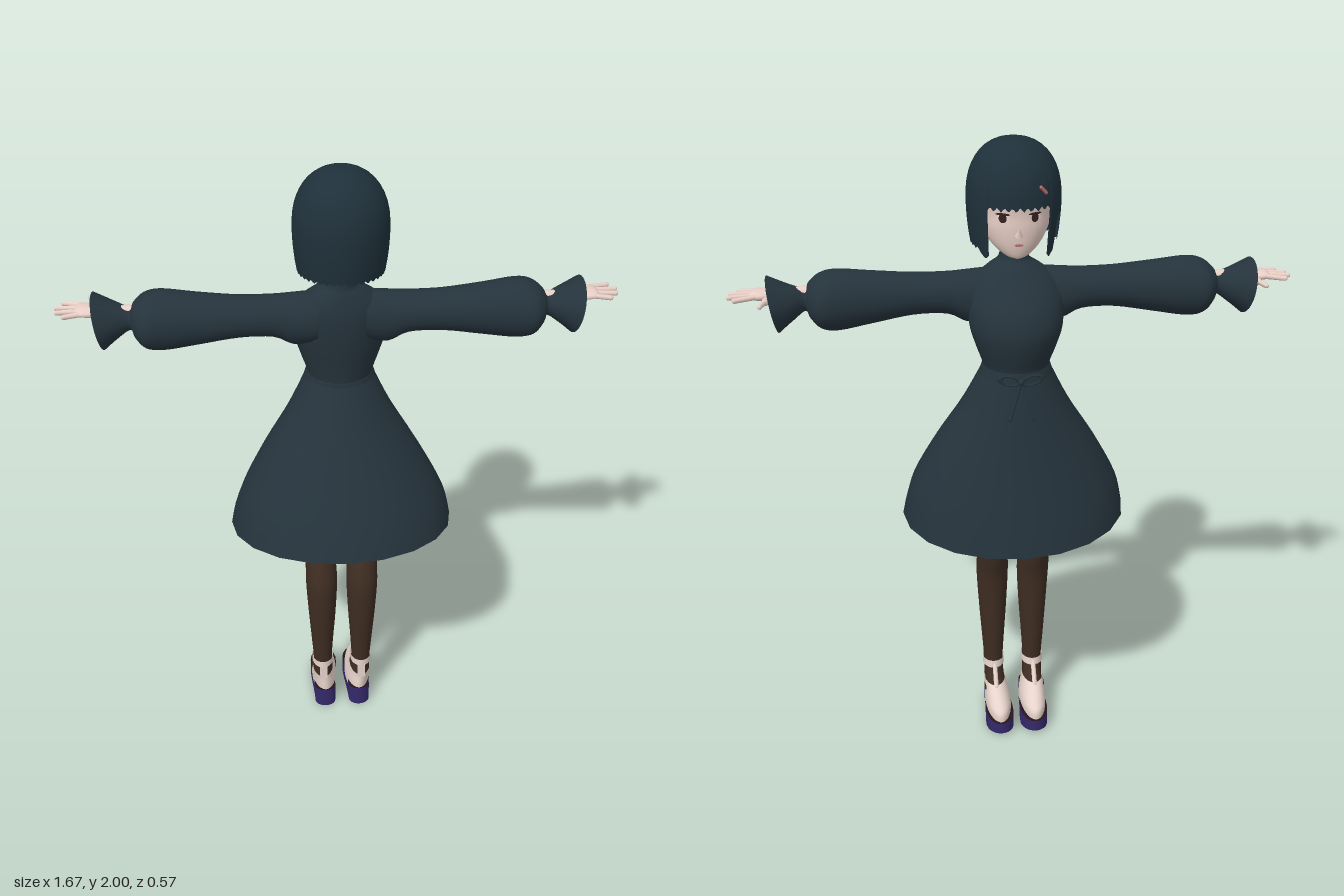
import * as THREE from 'three';
import { mergeVertices, mergeGeometries } from 'three/addons/utils/BufferGeometryUtils.js';

const mat = (name, color, side = THREE.FrontSide) => {
  const m = new THREE.MeshStandardMaterial({ color, side });
  m.name = name;
  return m;
};

// Closed-around grid: point(i, j) gives row i (bottom to top), column j
function grid(rows, cols, point) {
  const pos = [], idx = [];
  for (let i = 0; i < rows; i++) for (let j = 0; j < cols; j++) pos.push(...point(i, j));
  for (let i = 0; i < rows - 1; i++) for (let j = 0; j < cols; j++) {
    const k = (j + 1) % cols, a = i * cols, b = a + cols;
    idx.push(a + j, b + j, a + k, b + j, b + k, a + k);
  }
  const g = new THREE.BufferGeometry();
  g.setAttribute('position', new THREE.Float32BufferAttribute(pos, 3));
  g.setIndex(idx);
  g.computeVertexNormals();
  return g;
}

// Smoothly interpolated copies of the section rows
function smooth(rows, n) {
  const out = [], at = i => rows[Math.min(Math.max(i, 0), rows.length - 1)];
  for (let i = 0; i < rows.length - 1; i++) for (let s = 0; s < n; s++) {
    const t = s / n;
    out.push(rows[i].map((p1, c) => {
      const p0 = at(i - 1)[c], p2 = at(i + 1)[c], p3 = at(i + 2)[c];
      return p1 + 0.5 * t * (p2 - p0 + t * (2 * p0 - 5 * p1 + 4 * p2 - p3 + t * (3 * (p1 - p2) + p3 - p0)));
    }));
  }
  out.push(rows[rows.length - 1]);
  return out;
}

// Elliptical sections [along, min, max, zMin, zMax, tilt] along y or x
function loft(rows, axis = 'y', cols = 28, n = 4) {
  const r = smooth(rows.map(q => (q.length < 6 ? [...q, 0] : q)), n);
  return grid(r.length, cols, (i, j) => {
    const [t, a0, a1, z0, z1, tilt] = r[i], ang = (j / cols) * Math.PI * 2;
    const u = Math.cos(ang) * (a1 - a0) / 2, w = Math.sin(ang) * (z1 - z0) / 2;
    const a = (a0 + a1) / 2 + u, z = (z0 + z1) / 2;
    return axis === 'y' ? [a, t + tilt * w, z + w] : [t + tilt * u, a, z - w];
  });
}
const sym = rows => rows.map(([y, r, ...rest]) => [y, -r, r, ...rest]);

function mirrored(geo) {
  const g = geo.clone().scale(-1, 1, 1), x = g.index.array;
  for (let i = 0; i < x.length; i += 3) [x[i], x[i + 1]] = [x[i + 1], x[i]];
  g.computeVertexNormals();
  return g;
}

// Rounded rod between two points
function rod(p, q, r) {
  const a = new THREE.Vector3(...p), b = new THREE.Vector3(...q), d = b.clone().sub(a);
  const turn = new THREE.Quaternion().setFromUnitVectors(new THREE.Vector3(0, 1, 0), d.clone().normalize());
  return new THREE.CapsuleGeometry(r, d.length(), 4, 8).applyQuaternion(turn)
    .translate(...a.add(b).multiplyScalar(0.5).toArray());
}

export function createModel() {
  const model = new THREE.Group();
  const cloth = mat('dress cloth', 0x25333c, THREE.DoubleSide);
  const hairMat = mat('hair', 0x1f303a, THREE.DoubleSide);
  const skin = mat('skin', 0xf0d6cd);
  const tights = mat('tights', 0x3e2d22);
  const cream = mat('shoe cream', 0xe6d3cb, THREE.DoubleSide);
  const purple = mat('platform purple', 0x35296b);
  const under = mat('sole underside', 0x26161c);
  const eyeMat = mat('eye', 0x35201f);
  const lip = mat('lip', 0xb8706c);
  const add = (name, geo, m) => {
    const mesh = new THREE.Mesh(geo, m);
    mesh.name = name;
    model.add(mesh);
    return mesh;
  };
  const pair = (name, geo, m) => { add(name, geo, m); add(name, mirrored(geo), m); };

  // Dress: bodice with high collar, and flared skirt with a sloping hem
  add('bodice', loft(sym([[1.31, 0.105, -0.165, 0.03], [1.34, 0.1, -0.163, 0.03], [1.4, 0.12, -0.183, 0.038],
    [1.46, 0.138, -0.193, 0.048], [1.52, 0.142, -0.175, 0.055], [1.57, 0.135, -0.14, 0.056], [1.605, 0.115, -0.11, 0.05],
    [1.635, 0.075, -0.085, 0.042], [1.655, 0.045, -0.064, 0.035], [1.695, 0.042, -0.056, 0.032]])), cloth);
  add('skirt', loft(sym([[0.81, 0.358, -0.285, 0.281, 0.12], [0.92, 0.33, -0.258, 0.236, 0.09], [1.07, 0.252, -0.222, 0.163, 0.06],
    [1.21, 0.165, -0.192, 0.093, 0.03], [1.34, 0.1, -0.164, 0.03, 0]]), 'y', 20), cloth);
  add('waistband', loft(sym([[1.315, 0.111, -0.174, 0.038], [1.338, 0.104, -0.17, 0.034]])), cloth);

  // Bow with two loops and two hanging ties
  const bow = [new THREE.SphereGeometry(0.01, 10, 8).translate(0, 1.32, -0.182)];
  for (const s of [-1, 1]) {
    bow.push(new THREE.TorusGeometry(0.02, 0.005, 6, 16).scale(1.5, 0.7, 1).rotateZ(s * 0.25).translate(s * 0.033, 1.325, -0.18));
    bow.push(rod([0, 1.32, -0.18], [s * 0.035, 1.21, -0.204], 0.005));
  }
  add('bow', mergeGeometries(bow), cloth);

  // Puffed sleeves pinched at the wrist, with open flared cuffs
  pair('sleeve', loft([[0.07, 1.47, 1.625, -0.09, 0.05], [0.14, 1.463, 1.62, -0.088, 0.046], [0.2, 1.49, 1.616, -0.084, 0.042],
    [0.3, 1.492, 1.617, -0.086, 0.044], [0.42, 1.473, 1.628, -0.1, 0.05], [0.52, 1.458, 1.638, -0.118, 0.058],
    [0.57, 1.467, 1.627, -0.12, 0.06], [0.6, 1.497, 1.603, -0.09, 0.03], [0.613, 1.52, 1.588, -0.066, 0.002],
    [0.65, 1.5, 1.6, -0.095, 0.018, 0.1], [0.706, 1.463, 1.627, -0.136, 0.056, 0.18]], 'x'), cloth);

  // Hands: wrist and palm, four spread fingers, thumb
  const hand = [loft([[0.6, 1.557, 1.595, -0.055, -0.015], [0.68, 1.562, 1.592, -0.058, -0.016], [0.72, 1.562, 1.594, -0.08, -0.008],
    [0.755, 1.566, 1.593, -0.084, -0.008], [0.772, 1.577, 1.583, -0.075, -0.02]], 'x', 16)];
  [[-0.076, -0.093, 0.808], [-0.057, -0.064, 0.826], [-0.037, -0.036, 0.822], [-0.018, -0.008, 0.8]].forEach(
    ([z0, z1, x]) => hand.push(rod([0.75, 1.58, z0], [x, 1.577, z1], 0.0078)));
  hand.push(rod([0.7, 1.577, -0.06], [0.722, 1.574, -0.105], 0.011), rod([0.722, 1.574, -0.105], [0.735, 1.572, -0.14], 0.0075));
  hand.forEach(g => g.deleteAttribute('uv'));
  pair('hand', mergeGeometries(hand), skin);

  // Legs in tights, reaching up under the skirt
  pair('leg', loft([[0.14, 0.034, 0.1, -0.025, 0.058], [0.21, 0.035, 0.1, -0.02, 0.058], [0.3, 0.03, 0.106, -0.026, 0.066],
    [0.42, 0.022, 0.114, -0.032, 0.08], [0.55, 0.016, 0.121, -0.042, 0.086], [0.62, 0.018, 0.121, -0.06, 0.07],
    [0.7, 0.023, 0.125, -0.077, 0.044], [0.82, 0.02, 0.142, -0.093, 0.042], [1.0, 0.01, 0.162, -0.11, 0.048],
    [1.12, 0.006, 0.165, -0.118, 0.05]]), tights);

  // Platform soles, higher at the heel
  const outline = new THREE.Shape();
  outline.moveTo(0.025, -0.045);
  outline.bezierCurveTo(0.03, -0.08, 0.09, -0.08, 0.097, -0.045);
  outline.bezierCurveTo(0.098, 0.02, 0.107, 0.06, 0.106, 0.105);
  outline.bezierCurveTo(0.1, 0.19, 0.025, 0.195, 0.013, 0.115);
  outline.bezierCurveTo(0.012, 0.06, 0.023, 0.02, 0.025, -0.045);
  const sole = new THREE.ExtrudeGeometry(outline, { depth: 1, bevelEnabled: false, curveSegments: 10 }).rotateX(-Math.PI / 2);
  const sp = sole.attributes.position;
  for (let i = 0; i < sp.count; i++) {
    const f = (sp.getZ(i) + 0.17) / 0.24, toe = Math.max(0, 0.25 - f) * 0.05;
    sp.setY(i, sp.getY(i) > 0.5 ? 0.053 + 0.025 * f : toe);
  }
  sole.computeVertexNormals();
  pair('platformSole', mergeVertices(sole), [under, purple]);

  // Feet, open shoes with straps, and a dark gap across the instep
  pair('foot', loft([[0.06, 0.022, 0.1, -0.15, 0.06], [0.09, 0.024, 0.1, -0.135, 0.06], [0.12, 0.03, 0.098, -0.092, 0.059],
    [0.15, 0.034, 0.099, -0.05, 0.058], [0.19, 0.035, 0.1, -0.022, 0.058]]), tights);
  pair('shoeUpper', loft([[0.05, 0.016, 0.104, -0.164, 0.067], [0.08, 0.017, 0.104, -0.16, 0.067], [0.1, 0.021, 0.103, -0.135, 0.066],
    [0.122, 0.027, 0.102, -0.098, 0.064], [0.14, 0.031, 0.102, -0.07, 0.064]]), cream);
  pair('ankleStrap', loft([[0.186, 0.031, 0.104, -0.03, 0.065], [0.212, 0.031, 0.104, -0.026, 0.064]]), cream);
  pair('heelStrap', new THREE.BoxGeometry(0.026, 0.06, 0.008).translate(0.067, 0.16, 0.06), cream);
  pair('instepStrap', rod([0.067, 0.135, -0.07], [0.067, 0.195, -0.024], 0.008), cream);
  for (const x of [0.035, 0.097]) pair('shoeOpening', new THREE.SphereGeometry(0.5, 12, 8).scale(0.016, 0.026, 0.05).translate(x, 0.112, -0.03), tights);

  // Head, neck, ears and face
  add('head', loft(sym([[1.672, 0.004, -0.107, -0.085], [1.682, 0.036, -0.117, -0.05], [1.715, 0.075, -0.127, 0.02],
    [1.76, 0.1, -0.132, 0.07], [1.8, 0.108, -0.132, 0.1], [1.86, 0.112, -0.135, 0.11], [1.93, 0.085, -0.1, 0.085],
    [1.965, 0.004, -0.02, 0.02]])), skin);
  add('neck', new THREE.CylinderGeometry(0.036, 0.036, 0.1, 20).translate(0, 1.69, -0.012), skin);
  add('nose', new THREE.ConeGeometry(0.012, 0.026, 8).rotateX(-0.5).translate(0, 1.757, -0.137), skin);
  pair('ear', new THREE.SphereGeometry(0.024, 12, 10).scale(0.5, 1.2, 0.8).translate(0.11, 1.775, -0.01), skin);
  const plate = (name, x, y, z, w, h, m) => {
    const p = add(name, new THREE.CircleGeometry(1, 20).scale(w, h, 1), m);
    p.position.set(x, y, z);
    p.lookAt(x * 1.0 + x * 11, y, z - 1);
  };
  for (const s of [-1, 1]) {
    plate('eyeWhite', s * 0.046, 1.797, -0.126, 0.02, 0.012, cream);
    plate('iris', s * 0.046, 1.797, -0.128, 0.012, 0.013, eyeMat);
    plate('lashLine', s * 0.046, 1.809, -0.129, 0.022, 0.0035, eyeMat);
  }
  plate('mouth', 0, 1.719, -0.132, 0.013, 0.004, lip);

  // Bobbed hair: one shell whose hem follows fringe, face locks, ear gap and nape
  const cols = 144, rows = 16;
  const hemAt = deg => {
    const d = Math.abs(deg), jag = 0.014 * Math.abs(((d / 9) % 1) * 2 - 1);
    if (d < 41) return 1.818 + jag;
    if (d < 58) return 1.672 + 0.002 * Math.abs(d - 49);
    if (deg < -58 && deg > -82) return 1.79;
    return 1.694 + 0.018 * (d - 58) / 122 + jag * 0.7;
  };
  add('hair', grid(rows, cols, (i, j) => {
    const ang = (j / cols) * Math.PI * 2, x = Math.cos(ang), z = Math.sin(ang);
    const hem = hemAt(THREE.MathUtils.radToDeg(Math.atan2(x, -z)));
    const y = hem + (2 - hem) * Math.sin((i / (rows - 1)) * Math.PI / 2);
    const up = Math.min(1, Math.max(0, (y - 1.83) / 0.17)), down = Math.max(0, (1.83 - y) / 0.14);
    const r = Math.pow(1 - Math.pow(up, 2.3), 1 / 2.3) * (1 - 0.1 * down * down);
    return [x * 0.138 * r, y, -0.01 + z * 0.146 * r];
  }), hairMat);
  add('hairClip', rod([-0.075, 1.868, -0.136], [-0.06, 1.885, -0.143], 0.005), lip);
  return model;
}
